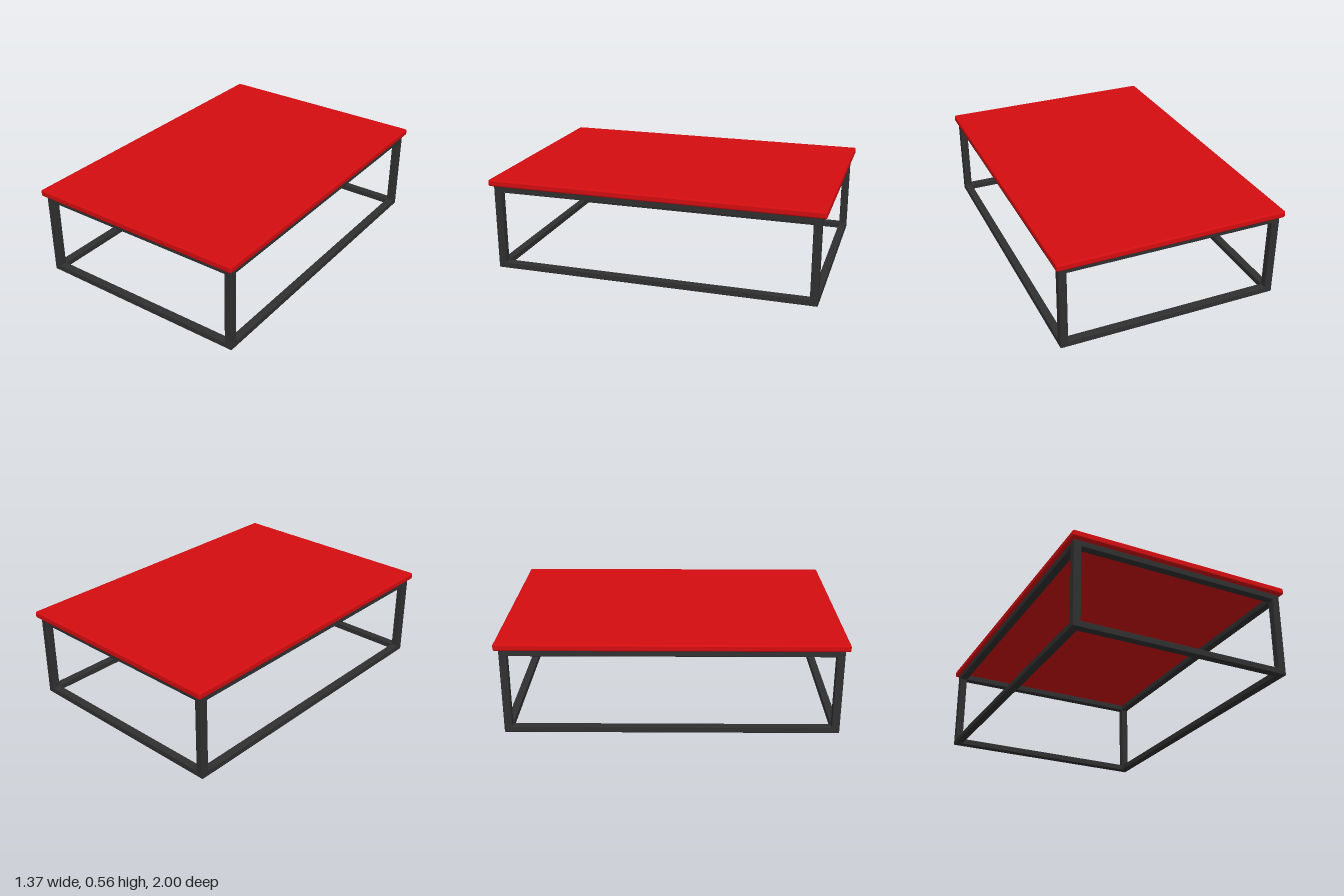
import * as THREE from 'three';
import { RoundedBoxGeometry } from 'three/addons/geometries/RoundedBoxGeometry.js';

export function createModel() {
  const table = new THREE.Group();
  table.name = 'lowTable';
  const red = new THREE.MeshStandardMaterial({ color: 0xd40d10 });
  const dark = new THREE.MeshStandardMaterial({ color: 0x303030 });

  function bar(parent, name, size, position, radius, material) {
    const mesh = new THREE.Mesh(new RoundedBoxGeometry(...size, 3, radius), material);
    mesh.name = name;
    mesh.position.set(...position);
    parent.add(mesh);
  }

  // Slab top with softened edges
  bar(table, 'tableTop', [1.37, 0.04, 2], [0, 0.54, 0], 0.01, red);

  // Square tube frame: outer half sizes, height and tube thickness
  const hx = 0.667, hz = 0.973, height = 0.52;
  const leg = 0.046, rail = 0.038, soft = 0.005;
  const cx = hx - leg / 2, cz = hz - leg / 2;
  const frame = new THREE.Group();
  frame.name = 'frame';
  table.add(frame);

  for (const side of [-1, 1]) {
    for (const end of [-1, 1]) {
      bar(frame, 'leg', [leg, height, leg], [side * cx, height / 2, end * cz], soft, dark);
    }
    // Rails along the floor and under the top, running into the legs
    for (const [level, y] of [['lower', rail / 2], ['upper', height - rail / 2]]) {
      bar(frame, level + 'SideRail', [leg, rail, 2 * cz], [side * cx, y, 0], soft, dark);
      bar(frame, level + 'EndRail', [2 * cx, rail, leg], [0, y, side * cz], soft, dark);
    }
  }
  return table;
}
